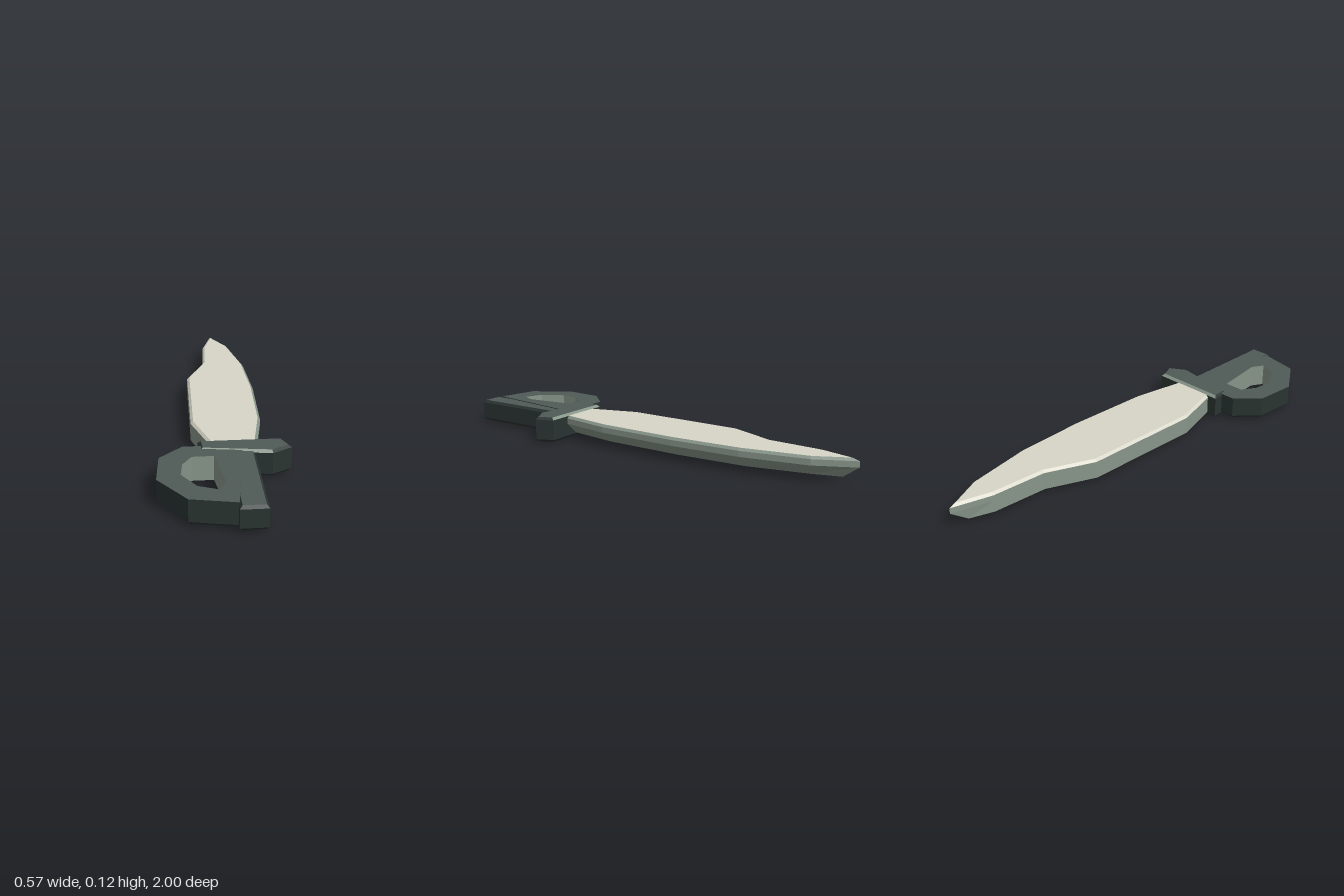
import * as THREE from 'three';

function flat(name, color) {
  const material = new THREE.MeshStandardMaterial({ color, flatShading: true });
  material.name = name;
  return material;
}
const steel = flat('pale steel', 0xd8d6c8);
const edgeGreen = flat('grey green', 0x88968a);
const slate = flat('slate', 0x4f5a56);
const darkSlate = flat('dark slate', 0x2a3432);

// Outlines are [x, z] points, clockwise as seen from above.
const at = (y, pts) => pts.map(([x, z]) => new THREE.Vector3(x, y, z));

// Moves an outline inwards by an even distance.
function inset(pts, d) {
  const n = pts.length;
  const normal = (a, b) => new THREE.Vector2(a[1] - b[1], b[0] - a[0]).normalize();
  return pts.map((p, i) => {
    const n1 = normal(pts[(i + n - 1) % n], p);
    const n2 = normal(p, pts[(i + 1) % n]);
    const k = d / (1 + n1.dot(n2));
    return [p[0] + k * (n1.x + n2.x), p[1] + k * (n1.y + n2.y)];
  });
}

// Side faces between two rings, optionally only for some edges.
function wall(low, high, keep = () => true) {
  const out = [];
  low.forEach((a, i) => {
    if (!keep(i)) return;
    const j = (i + 1) % low.length;
    out.push(low[j], a, high[i], low[j], high[i], high[j]);
  });
  return out;
}

// Flat face, with optional hole, facing up or down.
function cap(ring, up, hole = []) {
  const plan = (r) => r.map((p) => new THREE.Vector2(p.x, p.z));
  const all = [...ring, ...hole];
  const faces = THREE.ShapeUtils.triangulateShape(plan(ring), hole.length ? [plan(hole)] : []);
  return faces.flatMap(([i, j, k]) => {
    const [a, b, c] = [all[i], all[j], all[k]];
    const ny = (b.z - a.z) * (c.x - a.x) - (b.x - a.x) * (c.z - a.z);
    return (ny > 0) === up ? [a, b, c] : [a, c, b];
  });
}

// Underside and walls of a stack of rings, from bottom to top, left open above.
function shell(rings) {
  return [...cap(rings[0], false), ...rings.slice(1).flatMap((r, i) => wall(rings[i], r))];
}

function part(name, points, material) {
  const geometry = new THREE.BufferGeometry().setFromPoints(points);
  geometry.computeVertexNormals();
  const mesh = new THREE.Mesh(geometry, material);
  mesh.name = name;
  return mesh;
}

export function createModel() {
  const model = new THREE.Group();
  model.name = 'knife';

  // Blade: thin top chamfer, straight back, and a ground edge below on the left
  const blade = [
    [0.072, -1], [0.153, -0.825], [0.203, -0.527], [0.212, -0.2], [0.195, 0.185], [0.145, 0.45],
    [-0.045, 0.45], [-0.114, 0.204], [-0.094, -0.355], [0, -0.57], [0.02, -0.82],
  ];
  const ground = blade.map(([x, z], i) => {
    if (i === 0) return [0.057, -0.925];
    return i < 6 ? [x - 0.06, z + (i === 1 ? 0.03 : 0)] : [x, z];
  });
  const bladeHigh = at(0.096, blade);
  const bladeTop = at(0.107, inset(blade, 0.011));
  const cuttingSide = (i) => i < 6;
  model.add(part('bladeSides', [
    ...shell([at(0.016, ground), at(0.07, blade), bladeHigh]),
    ...wall(bladeHigh, bladeTop, cuttingSide),
  ], edgeGreen));
  model.add(part('bladeFace', [
    ...cap(bladeTop, true),
    ...wall(bladeHigh, bladeTop, (i) => !cuttingSide(i)),
  ], steel));

  // Guard: bevelled block, with lighter bevels along the upper front and back
  const guard = [[-0.1, 0.425], [0.253, 0.425], [0.283, 0.505], [0.198, 0.555], [-0.096, 0.51]];
  const guardTop = at(0.117, inset(guard, 0.012));
  const guardHigh = at(0.106, guard);
  const light = (i) => i === 0 || i === 3;
  model.add(part('guardSides', [
    ...shell([at(0, inset(guard, 0.012)), at(0.012, guard), guardHigh]),
    ...wall(guardHigh, guardTop, (i) => !light(i)),
  ], darkSlate));
  model.add(part('guardTop', cap(guardTop, true), slate));
  model.add(part('guardBevels', wall(guardHigh, guardTop, light), edgeGreen));

  // Grip
  const grip = [[0.01, 0.48], [0.129, 0.48], [0.12, 1], [0.01, 1]];
  const gripEnd = inset(grip, 0.011);
  const gripTop = at(0.11, gripEnd);
  model.add(part('gripSides', shell([
    at(0.008, gripEnd), at(0.02, grip), at(0.098, grip), gripTop,
  ]), darkSlate));
  model.add(part('gripTop', cap(gripTop, true), slate));

  // Hand loop: open ring beside the grip, bevelled below
  const loop = [
    [-0.167, 0.475], [0.075, 0.475], [0.075, 0.54], [0.012, 0.972],
    [-0.172, 0.932], [-0.283, 0.765], [-0.267, 0.575],
  ];
  const hole = [
    [-0.135, 0.575], [-0.045, 0.575], [-0.018, 0.81], [-0.05, 0.865],
    [-0.13, 0.83], [-0.188, 0.73], [-0.177, 0.643],
  ];
  const loopBase = at(0.006, inset(loop, 0.013));
  const loopLow = at(0.019, loop);
  const loopTop = at(0.113, loop);
  const holeBase = at(0.006, hole);
  const holeTop = at(0.113, hole);
  model.add(part('loopSides', [
    ...cap(loopBase, false, holeBase), ...wall(loopBase, loopLow), ...wall(loopLow, loopTop),
  ], darkSlate));
  model.add(part('loopTop', cap(loopTop, true, holeTop), slate));
  model.add(part('loopLining', wall([...holeBase].reverse(), [...holeTop].reverse()), edgeGreen));

  return model;
}
